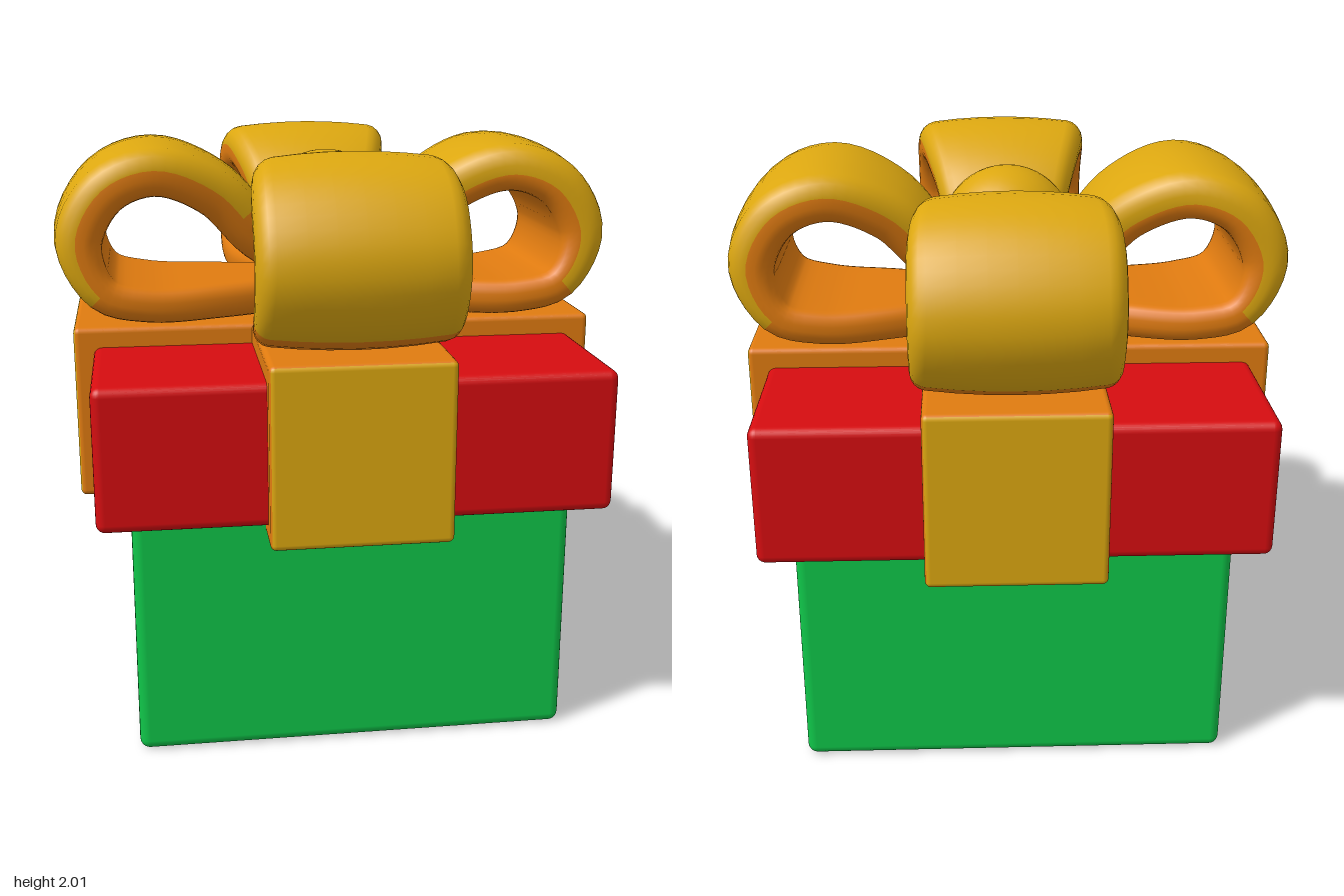
import * as THREE from 'three';
import { RoundedBoxGeometry } from 'three/addons/geometries/RoundedBoxGeometry.js';

const mat = (name, color) => {
  const m = new THREE.MeshStandardMaterial({ color });
  m.name = name;
  return m;
};

// Rounded box standing on y = bottom
function block(name, w, h, d, bottom, radius, material) {
  const mesh = new THREE.Mesh(new RoundedBoxGeometry(w, h, d, 3, radius), material);
  mesh.name = name;
  mesh.position.y = bottom + h / 2;
  return mesh;
}

// Ribbon cross-section: rounded bar, crowned on the outer side (v > 0)
function ribbonSection(halfWidth, halfThick) {
  const r = halfThick * 0.8, pts = [];
  const flat = halfWidth - r;
  const corner = (su, sv, a0) => {
    for (let i = 0; i <= 4; i++) {
      const a = a0 + (i / 4) * Math.PI / 2;
      pts.push([su * flat + r * Math.cos(a), sv * (halfThick - r) + r * Math.sin(a)]);
    }
  };
  const span = (from, v) => {
    for (let i = 1; i < 6; i++) pts.push([from * flat * (1 - i / 3), v]);
  };
  corner(1, 1, 0);
  span(1, halfThick);
  corner(-1, 1, Math.PI / 2);
  corner(-1, -1, Math.PI);
  span(-1, -halfThick);
  corner(1, -1, Math.PI * 1.5);
  return pts.map(([u, v]) => [u, v > 0 ? v + 0.025 * (1 - (u / halfWidth) ** 2) : v]);
}

// One bow loop reaching towards +x; group 0 is gold, group 1 is orange
function loopGeometry() {
  const path = new THREE.CatmullRomCurve3([
    [0.08, 1.55], [0.25, 1.65], [0.42, 1.83], [0.62, 1.91], [0.79, 1.85],
    [0.88, 1.68], [0.81, 1.51], [0.66, 1.465], [0.4, 1.462], [0.08, 1.47],
  ].map(([x, y]) => new THREE.Vector3(x, y, 0)));
  const steps = 56, position = [], gold = [], orange = [], centres = [];
  let n = 0;
  for (let i = 0; i <= steps; i++) {
    const p = path.getPointAt(i / steps), t = path.getTangentAt(i / steps);
    const halfWidth = 0.13 + 0.205 * Math.sin(Math.min(1, Math.max(0, (p.x - 0.06) / 0.76)) * Math.PI / 2);
    const halfThick = 0.058 + 0.02 * THREE.MathUtils.smoothstep(p.y, 1.47, 1.75);
    const section = ribbonSection(halfWidth, halfThick);
    n = section.length;
    centres.push(p);
    // the outward side lies left of the travel direction
    for (const [u, v] of section) position.push(p.x - t.y * v, p.y + t.x * v, u);
  }
  for (let i = 0; i < steps; i++) {
    const c = centres[i];
    const upper = c.x > 0.33 && c.y > 1.535;
    for (let j = 0; j < n; j++) {
      const k = (j + 1) % n;
      const a = i * n + j, b = i * n + k, d = a + n, e = b + n;
      // the first fifteen strips make up the outer half of the bar
      const list = upper && (j < 14 || j === n - 1) ? gold : orange;
      list.push(a, d, b, b, d, e);
    }
  }
  const g = new THREE.BufferGeometry();
  g.setAttribute('position', new THREE.Float32BufferAttribute(position, 3));
  g.setIndex([...gold, ...orange]);
  g.addGroup(0, gold.length, 0);
  g.addGroup(gold.length, orange.length, 1);
  g.computeVertexNormals();
  return g;
}

export function createModel() {
  const green = mat('box green', 0x0fc649);
  const red = mat('lid red', 0xd60d10);
  const gold = mat('ribbon gold', 0xdca710);
  const orange = mat('ribbon orange', 0xe07b10);
  const model = new THREE.Group();
  model.name = 'giftBox';

  // Box and lid
  model.add(block('box', 1.48, 1.0, 1.48, 0, 0.035, green));
  model.add(block('lid', 1.7, 0.48, 1.7, 0.84, 0.03, red));

  // Crossing bands: gold ends, orange elsewhere
  const bandMaterials = [gold, gold, orange, orange, orange, orange];
  for (let i = 0; i < 2; i++) {
    const band = block(i ? 'bandFrontToBack' : 'bandSideToSide', 1.835, 0.61, 0.6, 0.78, 0.02, bandMaterials);
    band.rotation.y = i * Math.PI / 2;
    model.add(band);
  }

  // Four bow loops
  const bow = new THREE.Group();
  bow.name = 'bow';
  const loop = loopGeometry();
  for (let i = 0; i < 4; i++) {
    const mesh = new THREE.Mesh(loop, [gold, orange]);
    mesh.name = 'bowLoop' + (i + 1);
    mesh.rotation.y = i * Math.PI / 2;
    bow.add(mesh);
  }

  // Knot: gold cap over an orange ball on a short stem
  const radius = 0.24, split = 0.95;
  const cap = new THREE.Mesh(new THREE.SphereGeometry(radius, 24, 8, 0, Math.PI * 2, 0, split), gold);
  cap.name = 'knotCap';
  const base = new THREE.Mesh(new THREE.SphereGeometry(radius, 24, 12, 0, Math.PI * 2, split, Math.PI - split), orange);
  base.name = 'knotBase';
  cap.position.y = base.position.y = 1.72;
  const stem = new THREE.Mesh(new THREE.CylinderGeometry(0.2, 0.2, 0.28, 24), orange);
  stem.name = 'knotStem';
  stem.position.y = 1.5;
  bow.add(cap, base, stem);
  model.add(bow);
  return model;
}
